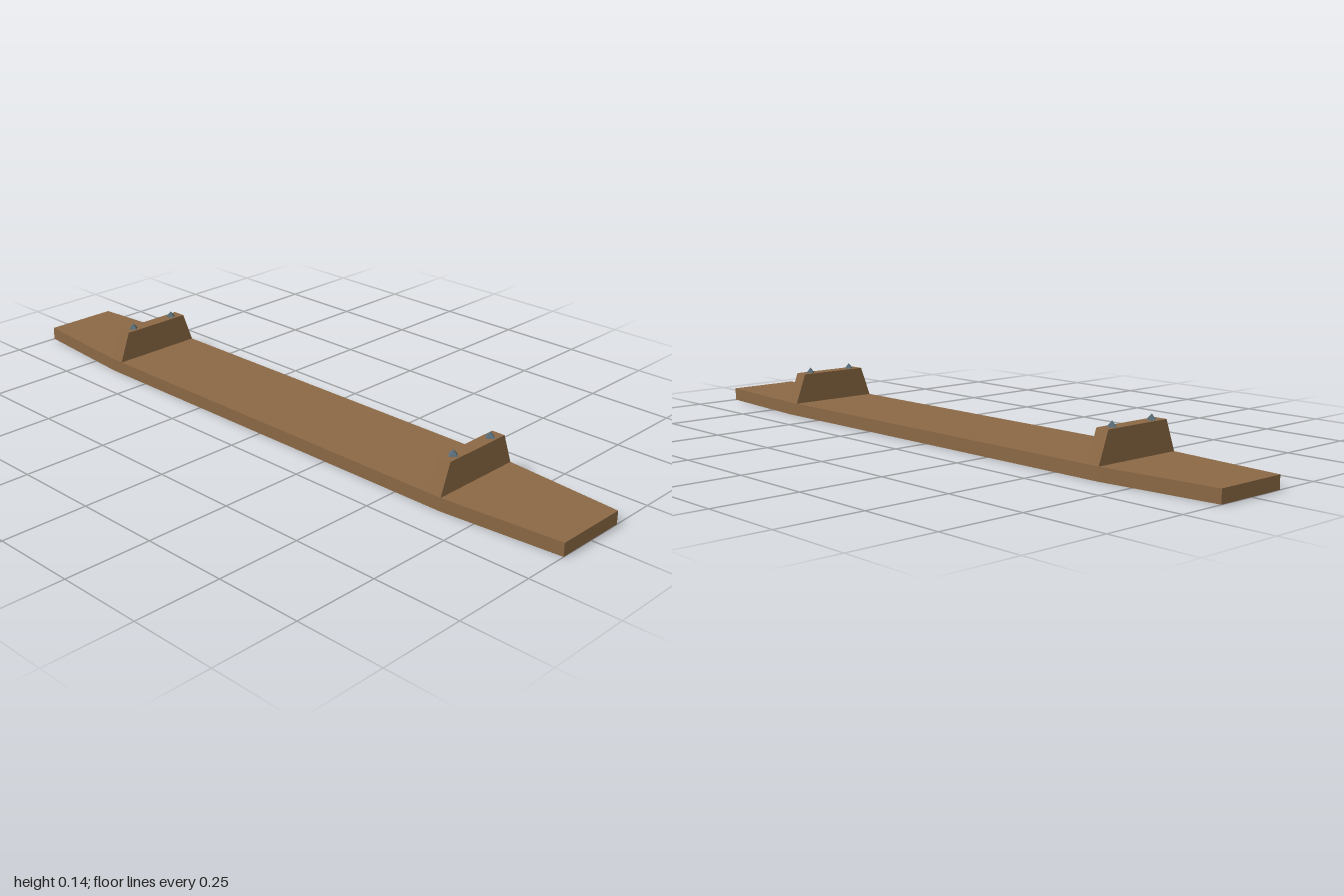
import * as THREE from 'three';

const PLANK_TOP = 0.038, CLEAT_TOP = 0.126, HALF_WIDTH = 0.143;

// Closed outline from 2D points, extruded and centred along its depth
function prism(points, depth) {
  const shape = new THREE.Shape(points.map(([x, y]) => new THREE.Vector2(x, y)));
  return new THREE.ExtrudeGeometry(shape, { depth, bevelEnabled: false }).translate(0, 0, -depth / 2);
}

export function createModel() {
  const group = new THREE.Group();
  const wood = new THREE.MeshStandardMaterial({ color: 0x8b6844 });
  wood.name = 'brown wood';
  const metal = new THREE.MeshStandardMaterial({ color: 0x5a6e78 });
  metal.name = 'grey metal';

  const add = (name, geometry, material) => {
    const mesh = new THREE.Mesh(geometry, material);
    mesh.name = name;
    group.add(mesh);
    return mesh;
  };

  // Plank with tapered ends
  const plank = prism([
    [-1, -0.112], [-0.65, -HALF_WIDTH], [0.65, -HALF_WIDTH], [1, -0.112],
    [1, 0.112], [0.65, HALF_WIDTH], [-0.65, HALF_WIDTH], [-1, 0.112],
  ], PLANK_TOP).rotateX(-Math.PI / 2).translate(0, PLANK_TOP / 2, 0);
  add('plank', plank, wood);

  // Trapezoid cleat across each end, with two pointed studs on top
  const cleat = prism([
    [-HALF_WIDTH, PLANK_TOP], [HALF_WIDTH, PLANK_TOP], [0.11, CLEAT_TOP], [-0.11, CLEAT_TOP],
  ], 0.04).rotateY(Math.PI / 2);
  const stud = new THREE.ConeGeometry(0.016, 0.016, 4).toNonIndexed();
  stud.computeVertexNormals();

  for (const [side, sign] of [['left', 1], ['right', -1]]) {
    add(side + 'Cleat', cleat, wood).position.x = sign * 0.63;
    for (const [end, z] of [['Front', 0.075], ['Back', -0.075]]) {
      add(side + end + 'Stud', stud, metal).position.set(sign * 0.63, CLEAT_TOP + 0.008, z);
    }
  }
  return group;
}
